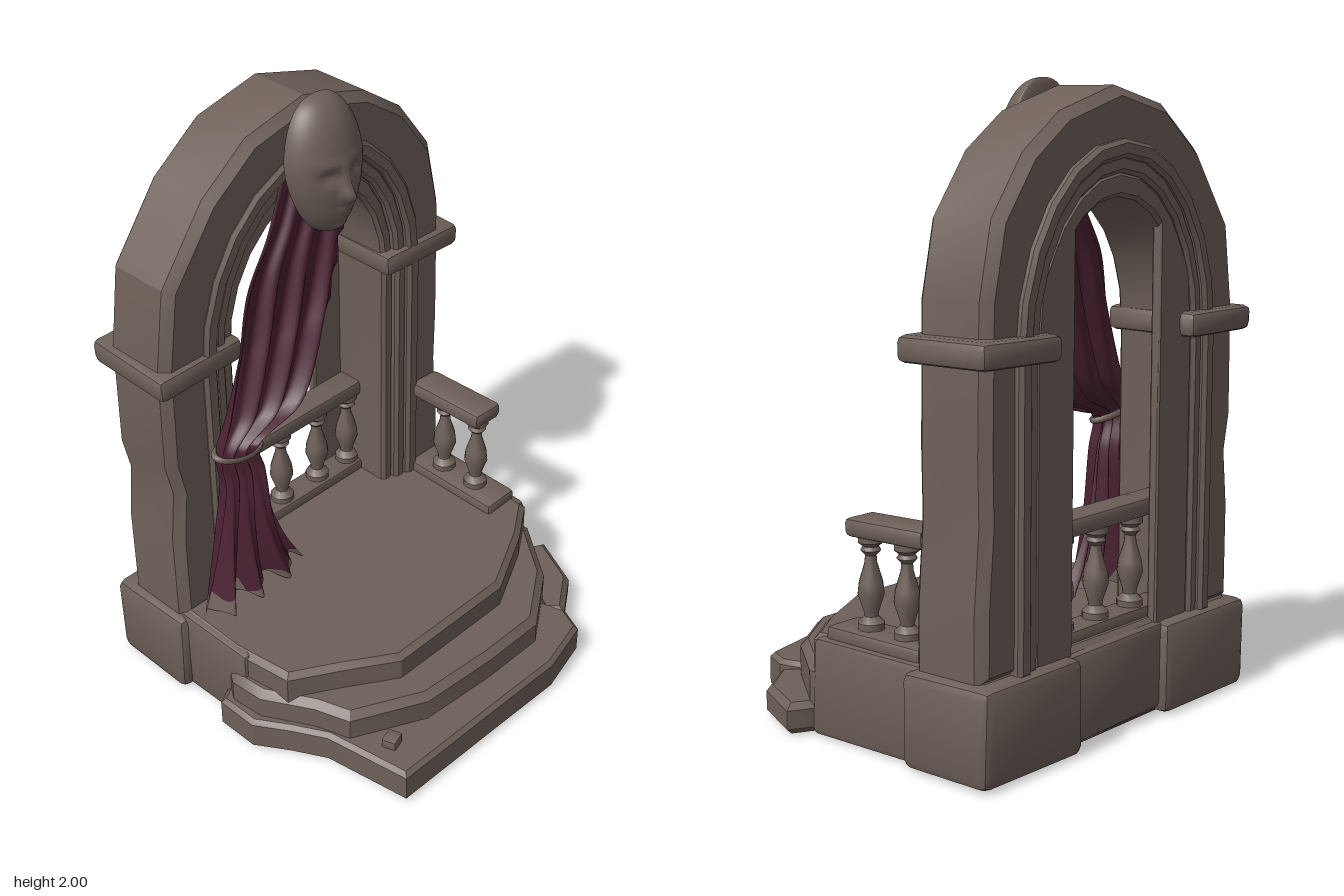
import * as THREE from 'three';
import { toCreasedNormals } from 'three/addons/utils/BufferGeometryUtils.js';
import { RoundedBoxGeometry } from 'three/addons/geometries/RoundedBoxGeometry.js';

const stone = new THREE.MeshStandardMaterial({ color: 0x6e6059, side: THREE.DoubleSide });
stone.name = 'stone';
const cloth = new THREE.MeshStandardMaterial({ color: 0x4a2032, side: THREE.DoubleSide });
cloth.name = 'wine cloth';

const V2 = (p) => new THREE.Vector2(p[0], p[1]);

function add(parent, name, geometry, material = stone) {
  const mesh = new THREE.Mesh(geometry, material);
  mesh.name = name;
  parent.add(mesh);
  return mesh;
}

// gentle continuous warp that makes cut stone look worn
function weather(geo, amount) {
  const p = geo.attributes.position;
  for (let i = 0; i < p.count; i++) {
    const x = p.getX(i), y = p.getY(i), z = p.getZ(i);
    p.setXYZ(i,
      x + amount * Math.sin(9 * y + 7 * z + 1),
      y + amount * 0.5 * Math.sin(8 * x + 6 * z),
      z + amount * Math.sin(8 * x + 10 * y + 2));
  }
  return geo;
}

// worn block given by its min and max corners
function block(parent, name, a, b, radius = 0.015, worn = 0.004) {
  const size = a.map((v, i) => b[i] - v);
  const geo = new RoundedBoxGeometry(...size, 1, radius);
  geo.translate(...a.map((v, i) => (v + b[i]) / 2));
  return add(parent, name, toCreasedNormals(weather(geo, worn), 0.6));
}

function bevelled(shape, depth, bevel) {
  return new THREE.ExtrudeGeometry(shape, {
    depth: depth - 2 * bevel, bevelThickness: bevel, bevelSize: bevel,
    bevelOffset: -bevel, bevelSegments: 1, curveSegments: 8,
  });
}

// horizontal slab from an outline of [x, z] points
function slab(parent, name, outline, y0, y1, bevel) {
  const shape = new THREE.Shape(outline.map(([x, z]) => new THREE.Vector2(x, -z)));
  const geo = bevelled(shape, y1 - y0, bevel).rotateX(-Math.PI / 2).translate(0, y0 + bevel, 0);
  return add(parent, name, toCreasedNormals(geo, 0.5));
}

const SPRING = 1.22, FLOOR = 0.29;

// arch outline from left foot, over the crown, to the right foot
function archLine(halfWidth, top, steps = 12) {
  const pts = [[-halfWidth, FLOOR]];
  for (let i = 0; i <= steps; i++) {
    const a = Math.PI * (1 - i / steps);
    pts.push([Math.cos(a) * halfWidth, SPRING + Math.sin(a) * (top - SPRING)]);
  }
  pts.push([halfWidth, FLOOR]);
  return pts;
}

function archBand(parent, name, outer, inner, z0, z1, bevel) {
  const shape = new THREE.Shape([...outer, ...inner.slice().reverse()].map(V2));
  const geo = bevelled(shape, z1 - z0, bevel).translate(0, 0, z0 + bevel);
  return add(parent, name, toCreasedNormals(geo, 0.45));
}

function buildBase(g) {
  slab(g, 'lowerStep', [[-0.6, -0.56], [-0.63, -0.1], [-0.69, -0.07], [-0.69, 0.08], [-0.62, 0.19], [-0.56, 0.3],
    [-0.51, 0.6], [-0.1, 0.605], [0.2, 0.61], [0.4, 0.56], [0.44, 0.47], [0.42, 0.4], [0.58, 0.1], [0.6, -0.56]], 0, 0.12, 0.015);
  slab(g, 'lowerStepChunk', [[0.3, 0.3], [0.45, 0.46], [0.6, 0.36], [0.69, 0.17], [0.6, 0.12], [0.45, 0.1]], 0, 0.1, 0.02);
  slab(g, 'middleStep', [[-0.6, -0.56], [-0.62, -0.1], [-0.66, -0.04], [-0.65, 0.08], [-0.56, 0.24], [-0.52, 0.36],
    [-0.28, 0.48], [0, 0.5], [0.24, 0.5], [0.45, 0.36], [0.61, 0.15], [0.61, -0.56]], 0.06, 0.22, 0.025);
  slab(g, 'platform', [[-0.62, -0.56], [-0.63, -0.06], [-0.6, 0.16], [-0.45, 0.25], [-0.28, 0.36], [0.21, 0.36],
    [0.45, 0.24], [0.6, 0.14], [0.61, -0.56]], 0.16, 0.315, 0.02);
  block(g, 'leftFlank', [0.3, 0, -0.5], [0.62, 0.31, 0.13], 0.02);
  block(g, 'rightFlank', [-0.635, 0, -0.5], [-0.3, 0.31, 0], 0.02);
  const pebble = block(g, 'looseStone', [-0.028, 0, -0.025], [0.028, 0.04, 0.025], 0.006, 0);
  pebble.position.set(-0.44, 0.11, 0.47);
  pebble.rotation.y = 0.3;
  block(g, 'leftPlinth', [0.21, 0, -0.61], [0.66, 0.3, -0.28], 0.03);
  block(g, 'rightPlinth', [-0.67, 0, -0.61], [-0.22, 0.3, -0.28], 0.03);
  block(g, 'backSill', [-0.25, 0.02, -0.58], [0.25, 0.3, -0.3], 0.02);
}

function buildArch(g) {
  const outer = [[-0.635, FLOOR], [-0.635, 0.62], [-0.615, 0.8], [-0.64, 0.92], [-0.635, 1.28], [-0.595, 1.55], [-0.42, 1.785],
    [-0.24, 1.92], [0, 1.975], [0.26, 1.9], [0.42, 1.79], [0.555, 1.61], [0.605, 1.38], [0.61, 0.95], [0.605, 0.75], [0.625, 0.5], [0.625, FLOOR]];
  archBand(g, 'archBody', outer, archLine(0.45, 1.79), -0.565, -0.295, 0.03);
  // stepped mouldings, running through to both faces
  [[0.485, 1.82, 0.43, 1.765, -0.59, -0.28], [0.435, 1.775, 0.385, 1.72, -0.575, -0.295], [0.39, 1.725, 0.34, 1.65, -0.565, -0.315]]
    .forEach(([w, top, innerW, innerTop, z0, z1]) =>
      archBand(g, 'archMoulding', archLine(w, top), archLine(innerW, innerTop), z0, z1, 0.012));
  for (const s of [-1, 1]) {
    // thin plain jamb at the back of the opening, cut to follow the curve
    const jamb = new THREE.Shape([[0.213, FLOOR], [0.37, FLOOR], [0.37, 1.4], [0.3, 1.53], [0.213, 1.6]].map(([x, y]) => new THREE.Vector2(s * x, y)));
    add(g, 'jamb', toCreasedNormals(bevelled(jamb, 0.035, 0.006).translate(0, 0, -0.559), 0.5));
    const x = [s * 0.325, s * 0.665].sort((a, b) => a - b);
    block(g, 'capital', [x[0], 1.2, -0.615], [x[1], 1.28, -0.272], 0.022, 0.005);
  }
}

function buildBalustrade(g) {
  const profile = [[0, 0], [0.042, 0], [0.042, 0.025], [0.022, 0.045], [0.024, 0.06], [0.042, 0.115], [0.038, 0.15],
    [0.02, 0.21], [0.018, 0.235], [0.032, 0.25], [0.024, 0.262], [0.04, 0.275], [0.04, 0.3], [0, 0.3]].map(V2);
  const geo = toCreasedNormals(new THREE.LatheGeometry(profile, 12), 0.7);
  const spots = [[-0.19, -0.48], [-0.01, -0.48], [0.165, -0.48], [0.315, -0.48], [0.53, -0.04], [0.53, -0.19]];
  for (const [x, z] of spots) add(g, 'baluster', geo).position.set(x, 0.345, z);
  block(g, 'backRail', [-0.35, 0.64, -0.53], [0.355, 0.7, -0.43], 0.014, 0.003);
  block(g, 'backRailFoot', [-0.35, 0.3, -0.53], [0.355, 0.35, -0.43], 0.01, 0.002);
  block(g, 'sideRail', [0.465, 0.64, -0.3], [0.59, 0.7, 0.01], 0.018, 0.005);
  block(g, 'sideRailFoot', [0.46, 0.3, -0.3], [0.6, 0.35, 0.09], 0.012, 0.003);
}

function buildMask(g) {
  const geo = new THREE.SphereGeometry(1, 56, 48);
  const p = geo.attributes.position;
  const bump = (x, y, cx, cy, sx, sy) => Math.exp(-(((x - cx) / sx) ** 2) - ((y - cy) / sy) ** 2);
  for (let i = 0; i < p.count; i++) {
    const y = p.getY(i);
    // fuller than an ellipsoid at crown and chin
    const full = Math.max(1 - y * y, 1e-4) ** -0.09;
    const x = p.getX(i) * full, z = p.getZ(i) * full;
    const width = 0.148 * (y < 0.2 ? 1 - 0.3 * ((0.2 - y) / 1.2) ** 1.3 : 1);
    const X = x * width, Y = y * 0.225, ax = Math.abs(X);
    let Z = z > 0 ? z * 0.118 : z * 0.022;
    if (z > 0) {
      Z += 0.032 * bump(X, Y, 0, -0.07, 0.02, 0.025) + 0.018 * bump(X, Y, 0, -0.025, 0.014, 0.05); // nose
      Z -= 0.017 * bump(ax, Y, 0.056, 0.0, 0.032, 0.02); // eye sockets
      Z += 0.006 * bump(ax, Y, 0.05, 0.04, 0.045, 0.014); // brows
      Z += 0.01 * bump(X, Y, 0, -0.125, 0.035, 0.01) + 0.01 * bump(X, Y, 0, -0.15, 0.03, 0.01); // lips
      Z += 0.01 * bump(X, Y, 0, -0.19, 0.03, 0.02); // chin
    }
    p.setXYZ(i, X, Y, Z - Y * 0.06);
  }
  geo.computeVertexNormals();
  add(g, 'mask', geo).position.set(0, 1.775, -0.26);
}

function buildCurtain(g) {
  // rows: y, left edge, right edge, z, fold depth
  const rows = [[1.74, -0.13, 0.16, -0.3, 0.008], [1.6, -0.22, 0.125, -0.275, 0.012], [1.45, -0.33, 0.08, -0.262, 0.016],
    [1.25, -0.4, 0.01, -0.247, 0.026], [1.05, -0.465, -0.1, -0.238, 0.034], [0.92, -0.5, -0.325, -0.238, 0.03],
    [0.8, -0.485, -0.3, -0.237, 0.032], [0.6, -0.525, -0.27, -0.23, 0.038], [0.45, -0.565, -0.225, -0.22, 0.046], [0.325, -0.605, -0.165, -0.21, 0.054]];
  const edge = (k) => new THREE.CatmullRomCurve3(rows.map((r) => new THREE.Vector3(r[k], r[0], r[3])));
  const left = edge(1), right = edge(2);
  const point = (u, v) => {
    const a = left.getPoint(v), b = right.getPoint(v), f = v * (rows.length - 1);
    const i = Math.min(Math.floor(f), rows.length - 2);
    const amp = THREE.MathUtils.lerp(rows[i][4], rows[i + 1][4], f - i);
    const q = a.lerp(b, u);
    q.z += amp * (0.75 * Math.sin(u * 21 + v * 4) + 0.3 * Math.sin(u * 43 + 1));
    q.y -= 0.06 * u * Math.max(0, 1 - Math.abs(f - 4.2)) - 0.03 * Math.sin(u * Math.PI) * Math.max(0, 1 - f / 3);
    if (u > 0.9 && f < 4.6) q.x += (u - 0.9) * 0.3 * (((f * 1.7) % 1) - 0.6); // ragged edge
    return q;
  };
  const saw = (t) => Math.abs((t % 1) * 2 - 1);
  const sheet = (name, material, v0, v1, nv) => {
    const nu = 64, geo = new THREE.PlaneGeometry(1, 1, nu, nv), p = geo.attributes.position;
    for (let j = 0; j <= nv; j++) for (let i = 0; i <= nu; i++) {
      const u = i / nu, q = point(u, THREE.MathUtils.lerp(v0(u), v1(u), j / nv));
      p.setXYZ(j * (nu + 1) + i, q.x, q.y, q.z);
    }
    geo.computeVertexNormals();
    add(g, name, geo, material);
  };
  // the torn stone hem stands taller on the outer side
  const tear = (u) => (u < 0.4 ? 0.93 : 0.965) + 0.03 * saw(u * 7.5);
  sheet('curtain', cloth, () => 0, tear, 72);
  sheet('curtainHem', stone, tear, (u) => 0.992 + 0.008 * saw(u * 11), 3);

  // tie-back ring
  const ring = new THREE.TorusGeometry(0.095, 0.011, 8, 28).rotateX(Math.PI / 2).scale(1, 1, 0.5);
  const tie = add(g, 'tieBack', ring);
  tie.position.set(-0.412, 0.915, -0.238);
  tie.rotation.set(0.2, 0, -0.18);
}

export function createModel() {
  const model = new THREE.Group();
  model.name = 'archwayWithCurtain';
  const parts = { base: buildBase, arch: buildArch, balustrade: buildBalustrade, keystoneMask: buildMask, drapery: buildCurtain };
  for (const [name, build] of Object.entries(parts)) {
    const group = new THREE.Group();
    group.name = name;
    build(group);
    model.add(group);
  }
  return model;
}
